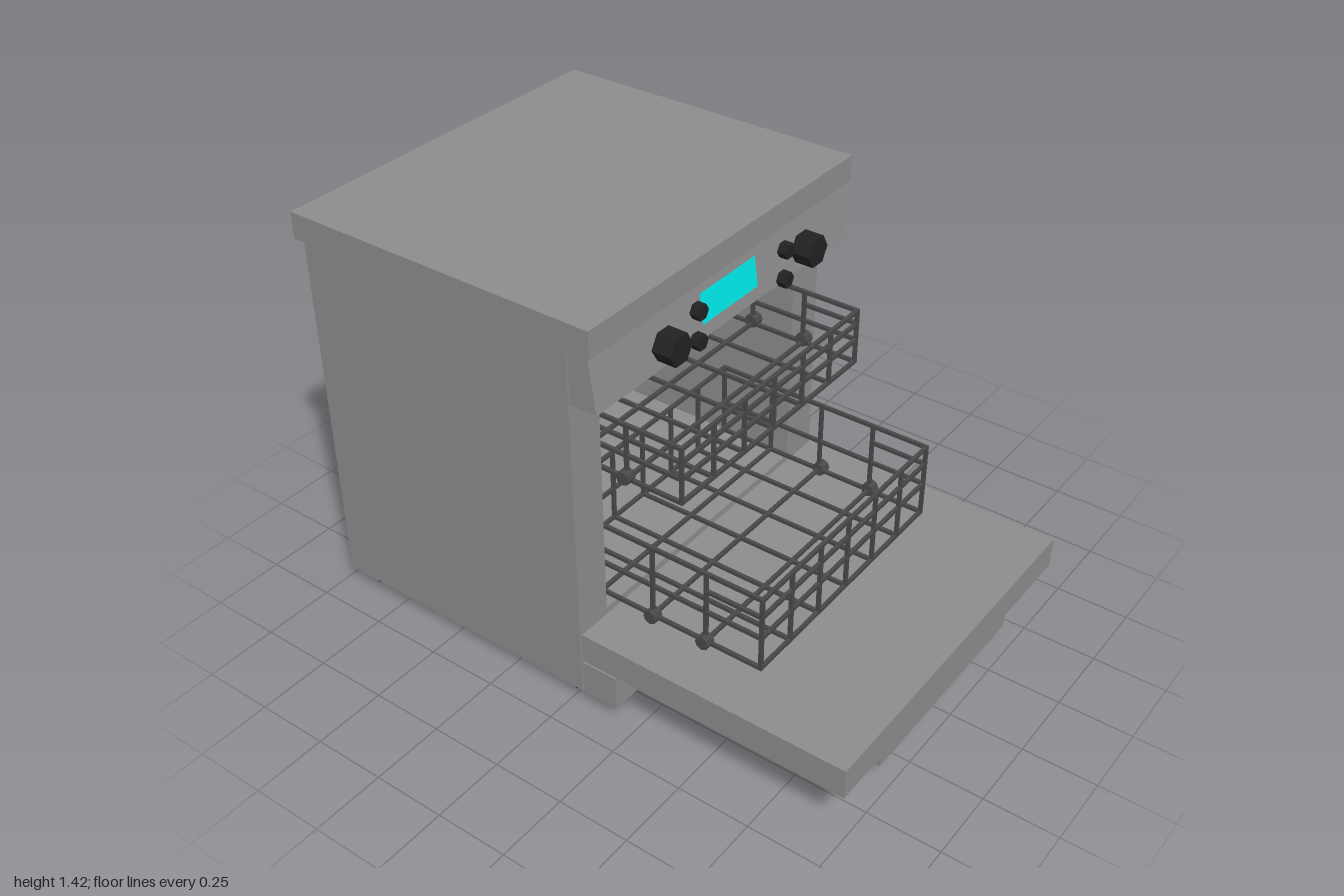
import * as THREE from 'three';

const grey = new THREE.MeshStandardMaterial({ color: 0x8c8c8c, flatShading: true });
const wire = new THREE.MeshStandardMaterial({ color: 0x484848, flatShading: true });
const dark = new THREE.MeshStandardMaterial({ color: 0x222222, flatShading: true });
const cyan = new THREE.MeshStandardMaterial({ color: 0x00e6e6 });

function add(parent, name, geometry, material) {
  const mesh = new THREE.Mesh(geometry, material);
  mesh.name = name;
  parent.add(mesh);
  return mesh;
}

// Box given by its limits on each axis
function box(parent, name, [x0, x1], [y0, y1], [z0, z1], material = grey) {
  const mesh = add(parent, name, new THREE.BoxGeometry(x1 - x0, y1 - y0, z1 - z0), material);
  mesh.position.set((x0 + x1) / 2, (y0 + y1) / 2, (z0 + z1) / 2);
  return mesh;
}

function outline(points) {
  return points.map(([x, y]) => new THREE.Vector2(x, y));
}

function extrude(points, depth, hole) {
  const shape = new THREE.Shape(outline(points));
  if (hole) shape.holes.push(new THREE.Path(outline(hole)));
  return new THREE.ExtrudeGeometry(shape, { depth, bevelEnabled: false });
}

function rect(x0, x1, y0, y1) {
  return [[x0, y0], [x1, y0], [x1, y1], [x0, y1]];
}

// Open wire rack: heights run bottom, middle, front guard, top
function makeBasket(name, heights, front, wheelY, wheelZs) {
  const g = new THREE.Group();
  g.name = name;
  const t = 0.006, w = 0.467, step = 0.2, rows = 4;
  const [bottom, middle, guard, top] = heights;
  const back = front - step * rows;
  const rod = (x0, x1, y0, y1, z0, z1) =>
    box(g, 'wireRod', [x0 - t, x1 + t], [y0 - t, y1 + t], [z0 - t, z1 + t], wire);

  // Lengthwise floor rods with front and back uprights
  for (let i = 0; i <= 6; i++) {
    const x = -w + (i * 2 * w) / 6;
    rod(x, x, bottom, bottom, back, front);
    rod(x, x, bottom, top, front, front);
    rod(x, x, bottom, top, back, back);
  }
  // Cross floor rods with side uprights
  for (let j = 0; j <= rows; j++) {
    const z = front - j * step;
    rod(-w, w, bottom, bottom, z, z);
    for (const s of [-1, 1]) rod(s * w, s * w, bottom, top, z, z);
  }
  // Horizontal rails
  for (const y of [middle, top]) {
    for (const z of [front, back]) rod(-w, w, y, y, z, z);
    for (const s of [-1, 1]) rod(s * w, s * w, y, y, back, front);
  }
  // Guard rail wraps round the front corners only
  rod(-w, w, guard, guard, front, front);
  for (const s of [-1, 1]) {
    rod(s * w, s * w, guard, guard, front - step, front);
    for (const z of wheelZs) {
      const wheel = add(g, 'basketWheel', new THREE.CylinderGeometry(0.024, 0.024, 0.035, 8), wire);
      wheel.rotation.z = Math.PI / 2;
      wheel.position.set(s * 0.473, wheelY, z);
    }
  }
  return g;
}

export function createModel() {
  const model = new THREE.Group();
  model.name = 'dishwasher';
  const side = [-0.639, 0.639];

  // Hollow cabinet, back wall and worktop
  const shell = extrude(rect(-0.639, 0.639, 0.051, 1.328), 0.902, rect(-0.507, 0.497, 0.301, 1.122));
  add(model, 'cabinet', shell, grey).position.z = -0.86;
  box(model, 'backWall', side, [0.051, 1.328], [-0.98, -0.86]);
  box(model, 'worktop', [-0.657, 0.657], [1.328, 1.417], [-1, 0.14]);

  // Sloped control panel, profile drawn in (z, y)
  const panel = extrude([[0.048, 1.137], [0.143, 1.137], [0.117, 1.328], [0.048, 1.328]], 1.278);
  panel.rotateY(-Math.PI / 2);
  add(model, 'controlPanel', panel, grey).position.x = 0.639;

  // Display on the slope
  const display = add(model, 'display', new THREE.BoxGeometry(0.279, 0.1, 0.004), cyan);
  display.position.set(0.004, 1.23, 0.13);
  display.rotation.x = -Math.atan2(0.026, 0.191);

  // Hexagonal knobs
  const knob = (name, r, depth, x, y, z) => {
    const geo = new THREE.CylinderGeometry(r, r, depth, 6);
    geo.rotateY(Math.PI / 6);
    geo.rotateX(Math.PI / 2);
    add(model, name, geo, dark).position.set(x, y, z);
  };
  for (const s of [-1, 1]) {
    knob('largeKnob', 0.053, 0.066, s * 0.351, 1.233, 0.187);
    for (const y of [1.182, 1.283]) knob('smallKnob', 0.027, 0.03, 0.004 + s * 0.222, y, 0.183);
  }

  // Lowered door and plinth
  box(model, 'door', side, [0.181, 0.287], [0.05, 1]);
  box(model, 'plinth', side, [0.051, 0.174], [0.048, 0.178]);

  // Door handle with a finger slot
  const handle = extrude([
    [-0.388, 0.079], [0.388, 0.079], [0.388, 0.181], [0.342, 0.181],
    [0.342, 0.152], [-0.342, 0.152], [-0.342, 0.181], [-0.388, 0.181],
  ], 0.077);
  add(model, 'doorHandle', handle, grey).position.z = 0.895;

  // Sliding baskets
  model.add(makeBasket('upperBasket', [0.806, 0.889, 0.949, 0.996], 0.305, 0.817, [0.105, -0.095]));
  model.add(makeBasket('lowerBasket', [0.323, 0.439, 0.519, 0.585], 0.593, 0.328, [0.393, 0.197]));

  // Tapered feet
  for (const x of [-0.56, 0.56]) {
    for (const z of [-0.015, -0.895]) {
      add(model, 'foot', new THREE.CylinderGeometry(0.053, 0.042, 0.051, 12), dark)
        .position.set(x, 0.0255, z);
    }
  }
  return model;
}
